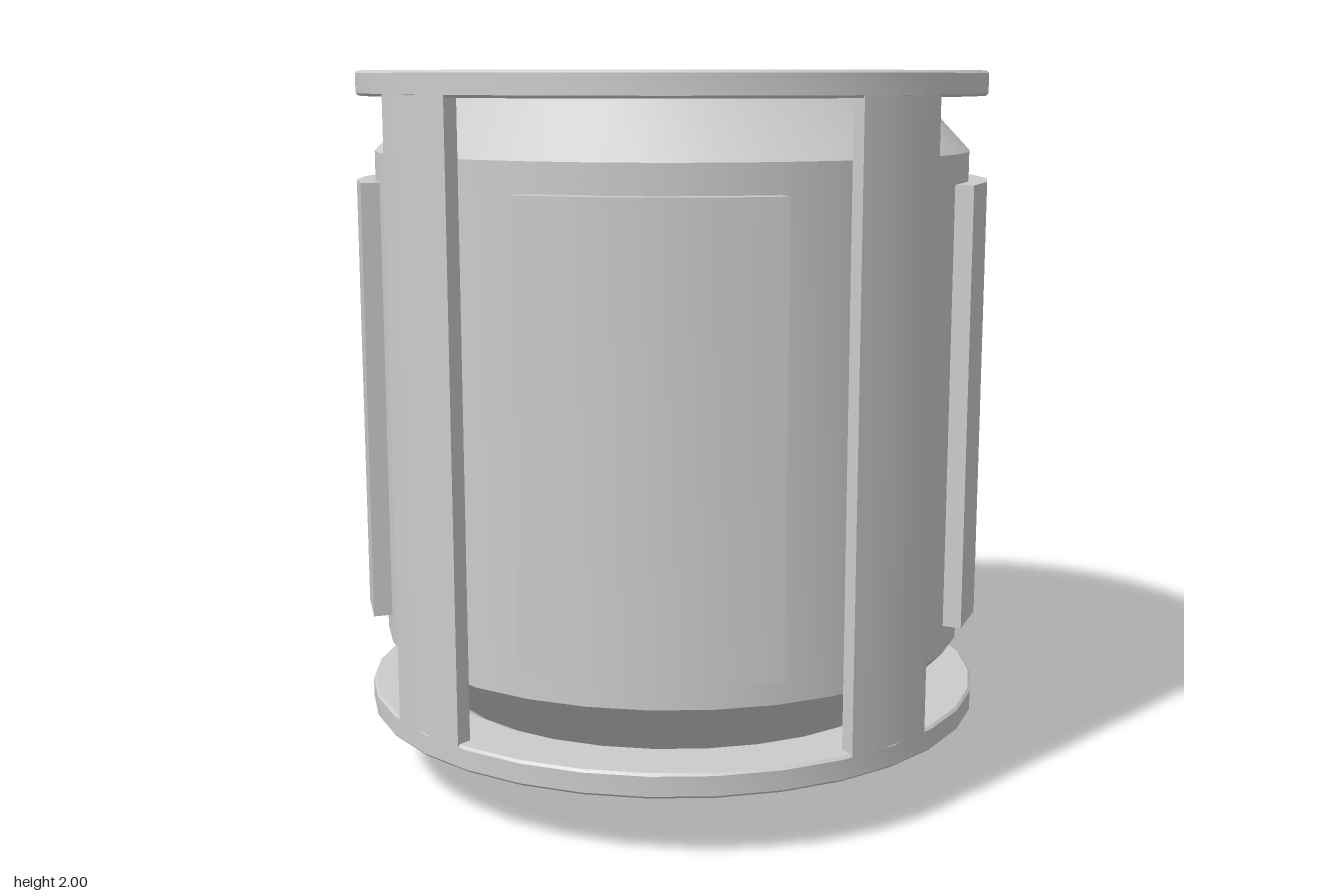
import * as THREE from 'three';
import { toCreasedNormals } from 'three/addons/utils/BufferGeometryUtils.js';

const SIDES = 32;
const MID = 1.09; // height of the horizontal symmetry plane

export function createModel() {
  const group = new THREE.Group();
  const material = new THREE.MeshStandardMaterial({ color: 0xcccccc });

  function add(name, geometry) {
    const mesh = new THREE.Mesh(toCreasedNormals(geometry, 0.5), material);
    mesh.name = name;
    group.add(mesh);
    return mesh;
  }

  // Surface of revolution from [radius, height] pairs, listed bottom to top on the outside
  function lathe(profile, sides = SIDES) {
    return new THREE.LatheGeometry(profile.map(([r, y]) => new THREE.Vector2(r, y)), sides);
  }

  // Curved slab centred on the +x axis, between two radii and two heights
  function arcSlab(r0, r1, halfAngle, y0, y1, segments) {
    const points = [];
    for (let i = 0; i <= segments; i++) {
      const a = -halfAngle + (2 * halfAngle * i) / segments;
      points.push(new THREE.Vector2(r1 * Math.cos(a), r1 * Math.sin(a)));
    }
    for (let i = segments; i >= 0; i--) {
      const a = -halfAngle + (2 * halfAngle * i) / segments;
      points.push(new THREE.Vector2(r0 * Math.cos(a), r0 * Math.sin(a)));
    }
    const geometry = new THREE.ExtrudeGeometry(new THREE.Shape(points), { depth: y1 - y0, bevelEnabled: false });
    return geometry.rotateX(-Math.PI / 2).translate(0, y0, 0);
  }

  // Drum body with 45 degree shoulders, the lower half mirroring the upper
  const upper = [[0.84, 1.78], [0.684, 1.945], [0, 1.945]];
  const lower = upper.map(([r, y]) => [r, 2 * MID - y]).reverse();
  add('body', lathe([...lower, ...upper]));

  // Raised hub on each end, with a small chamfer
  const hub = [[0.284, 1.94], [0.284, 1.978], [0.272, 1.99], [0, 1.99]];
  add('topHub', lathe(hub));
  add('bottomHub', lathe(hub.map(([r, y]) => [r, 2 * MID - y]).reverse()));

  // End rings with fine chamfers on the outer edge
  function ring(y0, y1) {
    return lathe([
      [0.712, y0], [0.881, y0], [0.888, y0 + 0.007], [0.888, y1 - 0.007],
      [0.881, y1], [0.712, y1], [0.712, y0],
    ]);
  }
  add('topRing', ring(1.932, 2));
  add('bottomRing', ring(0.18, 0.248));

  // Hollow spindle under the drum
  add('spindle', lathe([[0.042, 0], [0.055, 0], [0.055, 0.2], [0.042, 0.2], [0.042, 0]], 16));

  // Four struts on the axes and four raised panels on the diagonals
  for (let i = 0; i < 4; i++) {
    const turn = (i * Math.PI) / 2;
    add('strut' + (i + 1), arcSlab(0.842, 0.886, 0.16, 0.24, 1.94, 4)).rotation.y = turn;
    add('panel' + (i + 1), arcSlab(0.82, 0.892, Math.PI / 8, 0.48, 1.7, 4)).rotation.y = turn + Math.PI / 4;
  }

  return group;
}
